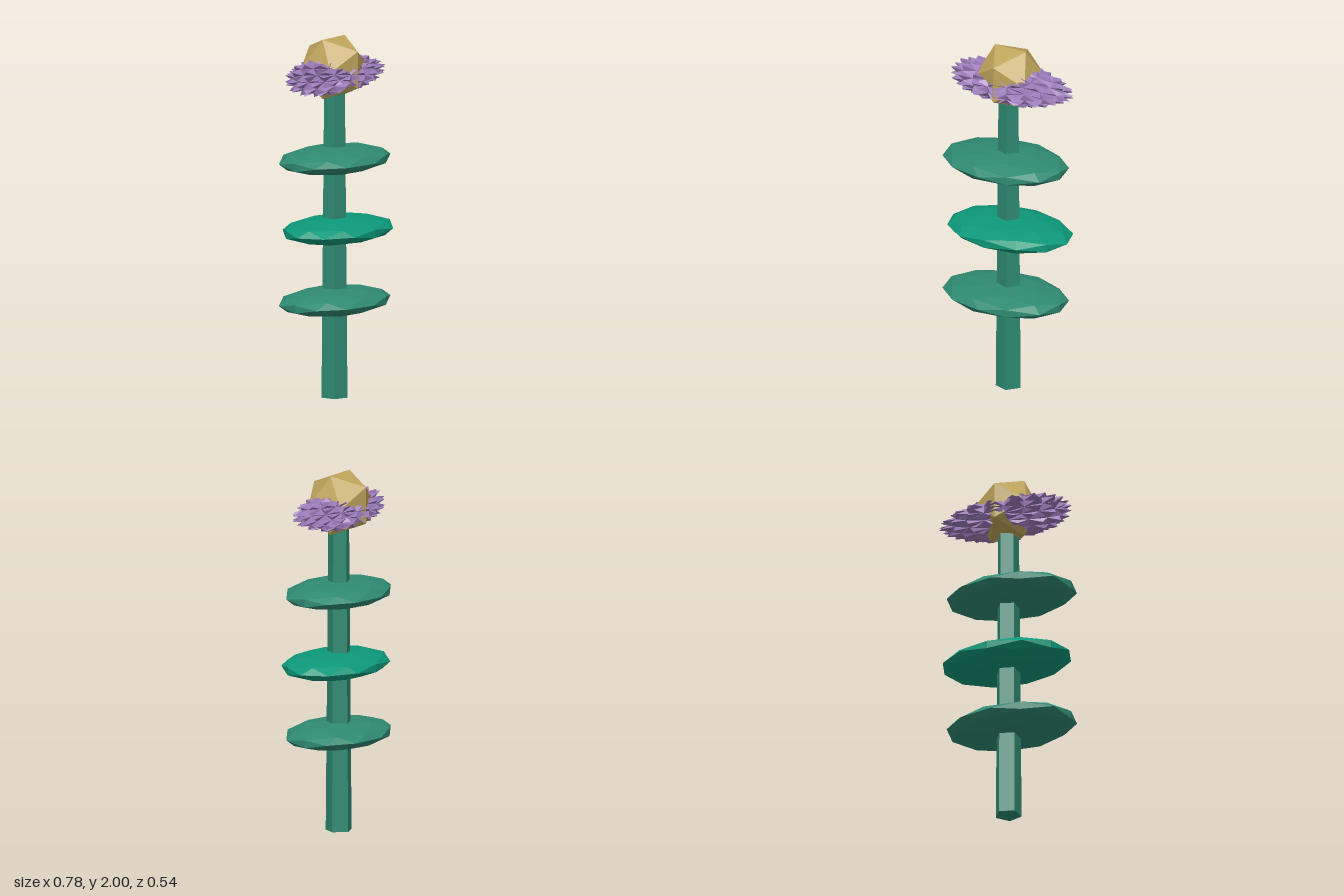
import * as THREE from 'three';

const PHI = (1 + Math.sqrt(5)) / 2;

function addPart(group, name, geometry, color, x, y, z) {
  const material = new THREE.MeshStandardMaterial({ color, flatShading: true });
  const mesh = new THREE.Mesh(geometry, material);
  mesh.name = name;
  mesh.position.set(x, y, z);
  group.add(mesh);
  return mesh;
}

// Low-poly ball with a corner on each end of the z axis, rolled about that axis
function poleBall(detail, roll) {
  return new THREE.IcosahedronGeometry(1, detail).rotateX(Math.atan(1 / PHI)).rotateZ(roll);
}

// Spiky ball: every facet is raised to a point at its centre
function spikyBall() {
  const base = poleBall(2, Math.PI / 2).rotateY(Math.PI / 2).getAttribute('position');
  const points = [];
  const shape = (v, radius) => {
    v.setLength(radius);
    v.y *= 1 - 0.4 * v.x ** 3; // blunt on the right end, pointed on the left
    return v;
  };
  for (let i = 0; i < base.count; i += 3) {
    const corners = [0, 1, 2].map((k) => new THREE.Vector3().fromBufferAttribute(base, i + k));
    const tip = new THREE.Vector3();
    corners.forEach((c) => tip.add(c));
    shape(tip, 1.03);
    corners.forEach((c) => shape(c, 0.88));
    for (let k = 0; k < 3; k++) points.push(corners[k], corners[(k + 1) % 3], tip);
  }
  const geometry = new THREE.BufferGeometry().setFromPoints(points);
  geometry.computeVertexNormals();
  return geometry;
}

export function createModel() {
  const model = new THREE.Group();
  model.name = 'flower';

  // Tapered five-sided stem
  const stem = new THREE.CylinderGeometry(0.06, 0.075, 1.72, 5).rotateY(Math.PI / 2);
  addPart(model, 'stem', stem, 0x2f8a72, -0.014, 0.86, -0.0125);

  // Flat leaf discs, the middle one turned a quarter
  for (const [name, y] of [['lowerLeaf', 0.54], ['upperLeaf', 1.328]]) {
    const leaf = poleBall(1, -Math.PI / 2).scale(0.378, 0.0725, 0.27);
    addPart(model, name, leaf, 0x2f8a72, -0.03, y, 0);
  }
  const middle = poleBall(1, Math.PI / 2).rotateY(Math.PI / 2).scale(0.378, 0.0715, 0.27);
  addPart(model, 'middleLeaf', middle, 0x0d987a, 0, 0.934, 0);

  // Blossom with its faceted heart
  addPart(model, 'petals', spikyBall().scale(0.385, 0.104, 0.18), 0x9b7bb8, 0, 1.795, -0.018);
  addPart(model, 'heart', new THREE.IcosahedronGeometry(0.194, 0), 0xbfa55c, -0.0125, 1.835, -0.02);

  return model;
}
